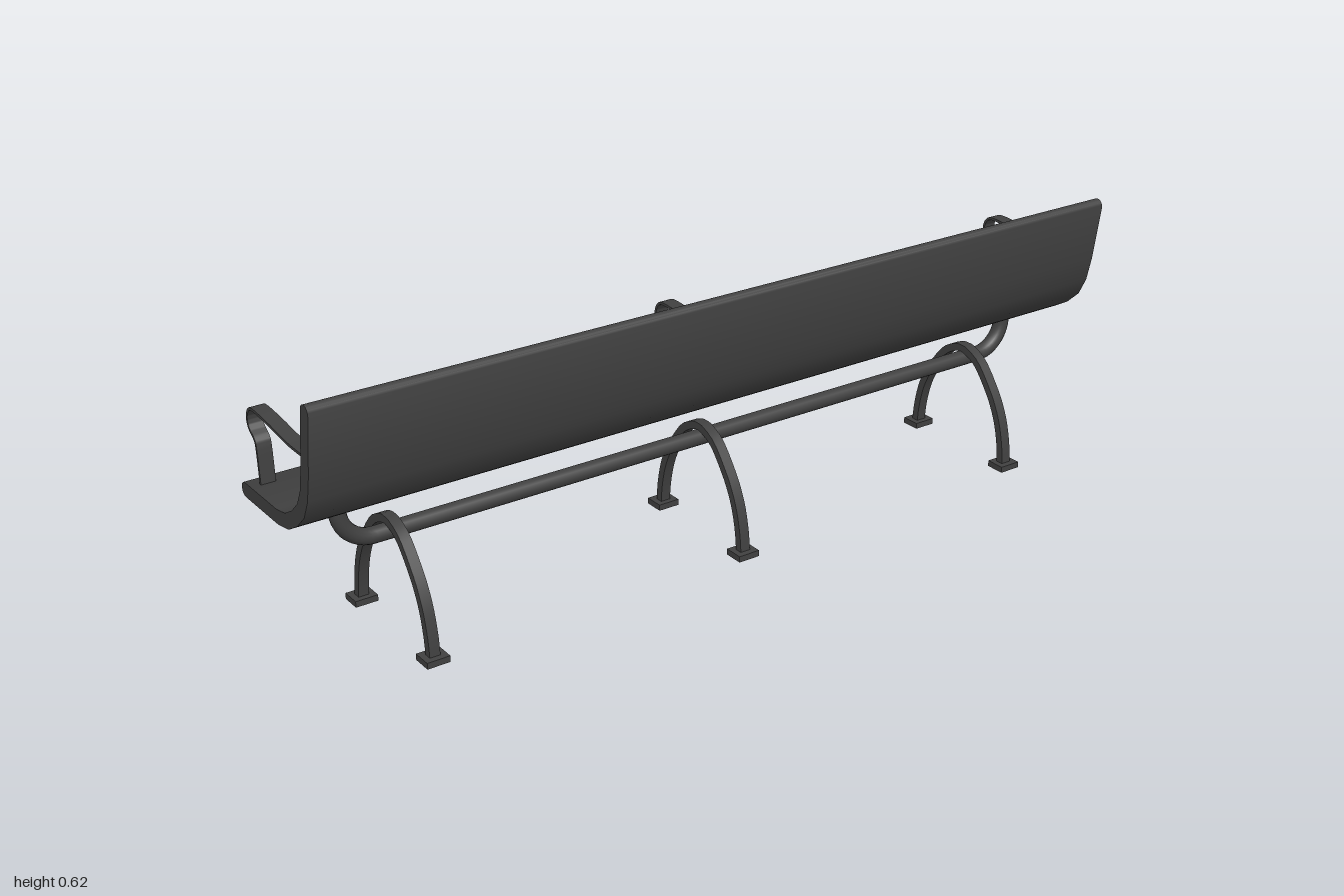
import * as THREE from 'three';
import { toCreasedNormals } from 'three/addons/utils/BufferGeometryUtils.js';

const material = new THREE.MeshStandardMaterial({ color: 0x404040 });

const vectors = (pairs) => pairs.map(([z, y]) => new THREE.Vector2(z, y));
const smooth = (pairs, count) => new THREE.SplineCurve(vectors(pairs)).getPoints(count);

// Thickens a side-on (z, y) path into a band and extrudes it across x.
function band(path, half, width, roundEnds = false) {
  const last = path.length - 1;
  const left = [], right = [];
  const direction = (i) => path[i + 1].clone().sub(path[i]).normalize();
  path.forEach((p, i) => {
    const before = direction(Math.max(i - 1, 0));
    const after = direction(Math.min(i, last - 1));
    const t = before.clone().add(after).normalize();
    const offset = new THREE.Vector2(-t.y, t.x).multiplyScalar(half / t.dot(after));
    left.push(p.clone().add(offset));
    right.push(p.clone().sub(offset));
  });
  const cap = (center, start) => {
    const points = [];
    if (!roundEnds) return points;
    for (let i = 1; i < 8; i++) {
      points.push(start.clone().rotateAround(center, -Math.PI * i / 8));
    }
    return points;
  };
  const outline = [
    ...left, ...cap(path[last], left[last]),
    ...right.slice().reverse(), ...cap(path[0], right[0]),
  ];
  const geometry = new THREE.ExtrudeGeometry(new THREE.Shape(outline), { depth: width, bevelEnabled: false });
  geometry.translate(0, 0, -width / 2).rotateY(-Math.PI / 2);
  return toCreasedNormals(geometry, 0.6);
}

export function createModel() {
  const bench = new THREE.Group();
  bench.name = 'bench';
  const add = (name, geometry, x = 0, y = 0, z = 0, parent = bench) => {
    const mesh = new THREE.Mesh(geometry, material);
    mesh.name = name;
    mesh.position.set(x, y, z);
    parent.add(mesh);
    return mesh;
  };

  // Seat and backrest: one bent slab with rounded edges
  const seatPath = vectors([
    [0.1625, 0.604], [0.1435, 0.476], [0.131, 0.422], [0.1125, 0.3855],
    [0.081, 0.3565], [0.0445, 0.3355], [0.003, 0.3275], [-0.142, 0.3275],
  ]);
  add('seatAndBackrest', band(seatPath, 0.016, 2, true));

  // Armrests: thin bent straps
  const armPath = smooth([
    [0.14, 0.486], [0.048, 0.485], [0, 0.489], [-0.059, 0.496], [-0.125, 0.5],
    [-0.145, 0.491], [-0.153, 0.471], [-0.146, 0.452], [-0.127, 0.437],
    [-0.12, 0.416], [-0.115, 0.335],
  ], 60);
  const armGeometry = band(armPath, 0.003, 0.032);
  for (const x of [-0.963, 0, 0.963]) add('armrest', armGeometry, x);

  // Support beam: pipe whose ends bend up into the seat
  const v = (x, y) => new THREE.Vector3(x, y, 0);
  const beam = new THREE.CurvePath();
  const [end, low, bend] = [0.875, 0.228, 0.075];
  beam.add(new THREE.LineCurve3(v(-end, 0.325), v(-end, low + bend)));
  const corner = (a, b, c, d) => new THREE.CubicBezierCurve3(a, b, c, d);
  const k = bend * 0.45;
  beam.add(corner(v(-end, low + bend), v(-end, low + k), v(-end + k, low), v(-end + bend, low)));
  beam.add(new THREE.LineCurve3(v(-end + bend, low), v(end - bend, low)));
  beam.add(corner(v(end - bend, low), v(end - k, low), v(end, low + k), v(end, low + bend)));
  beam.add(new THREE.LineCurve3(v(end, low + bend), v(end, 0.325)));
  add('supportBeam', new THREE.TubeGeometry(beam, 160, 0.018, 16));

  // Legs: arched flat bars standing on foot plates
  const halfArch = [[0.152, 0.005], [0.148, 0.05], [0.137, 0.1], [0.121, 0.14], [0.099, 0.177], [0.057, 0.229], [0.02, 0.25]];
  const archPath = smooth([
    ...halfArch, [0, 0.253], ...halfArch.map(([z, y]) => [-z, y]).reverse(),
  ], 40);
  const archGeometry = band(archPath, 0.009, 0.024);
  const footGeometry = new THREE.BoxGeometry(0.052, 0.014, 0.046);
  for (const x of [-0.763, 0, 0.763]) {
    const leg = new THREE.Group();
    leg.name = 'leg';
    leg.position.x = x;
    bench.add(leg);
    add('legArch', archGeometry, 0, 0, 0, leg);
    for (const side of [-1, 1]) add('footPlate', footGeometry, 0, 0.007, side * 0.152, leg);
  }
  return bench;
}
